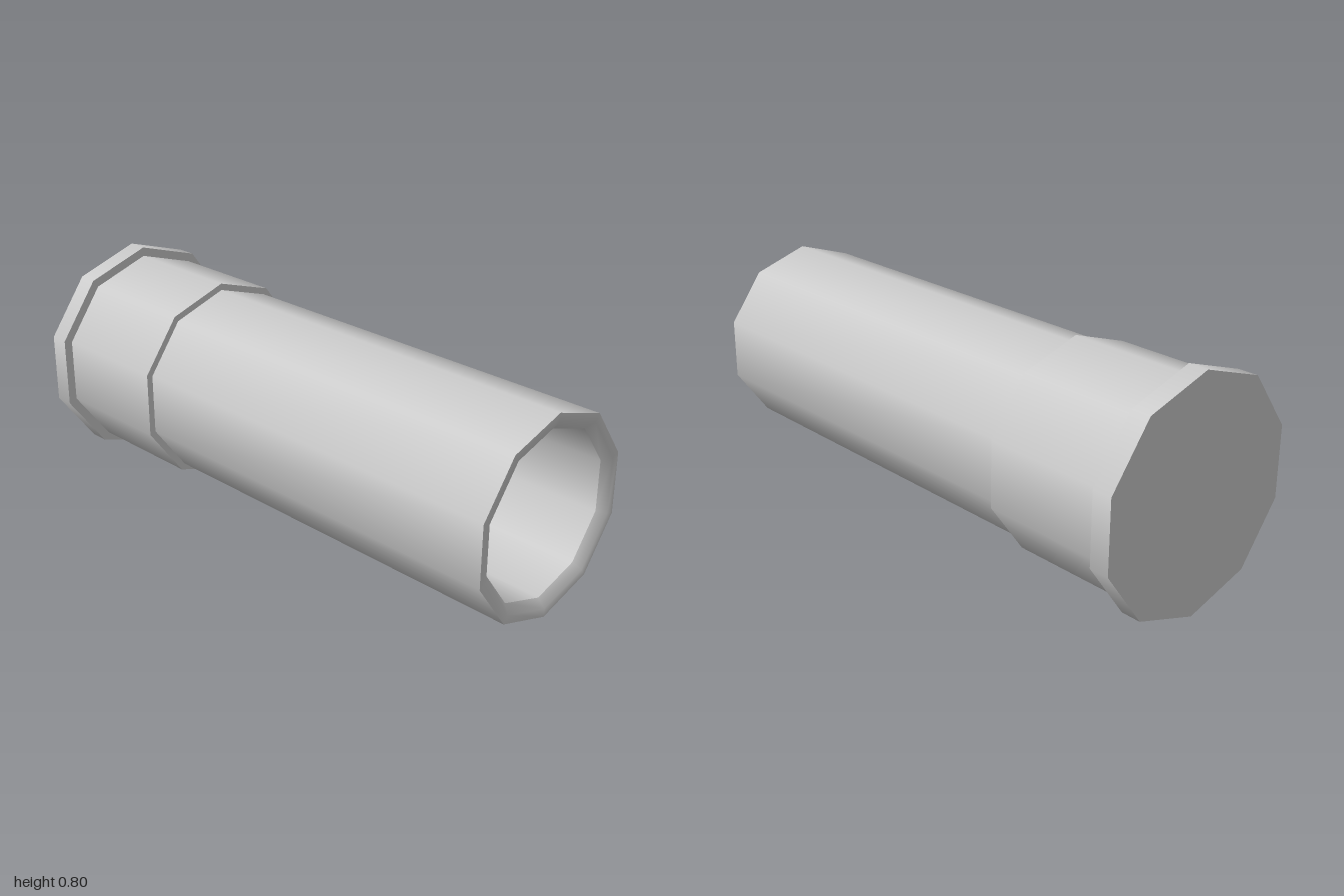
import * as THREE from 'three';

const SIDES = 10;
const AXIS_Y = 0.401;

export function createModel() {
  const group = new THREE.Group();
  const material = new THREE.MeshStandardMaterial({ color: 0xcccccc });

  // Turns a [radius, x] profile round the long axis; repeated points keep an edge sharp.
  function turned(name, profile) {
    const points = profile.map(([r, x]) => new THREE.Vector2(r, x));
    const geometry = new THREE.LatheGeometry(points, SIDES, Math.PI / 2);
    geometry.rotateZ(-Math.PI / 2);
    const mesh = new THREE.Mesh(geometry, material);
    mesh.name = name;
    mesh.position.y = AXIS_Y;
    group.add(mesh);
  }

  // Closed end with its flange
  turned('endFlange', [
    [0, -1], [0.401, -1], [0.401, -1],
    [0.401, -0.93], [0.401, -0.93], [0.368, -0.93],
  ]);

  // Thicker sleeve behind the flange
  turned('collar', [
    [0.368, -0.93], [0.368, -0.48], [0.368, -0.48], [0.344, -0.48],
  ]);

  // Long outer wall
  turned('tube', [[0.344, -0.48], [0.344, 1]]);

  // Softened lip round the open end
  turned('rim', [[0.344, 1], [0.315, 1], [0.286, 0.975]]);

  // Deep hollow with a flat floor, shaded smoothly into the wall
  turned('bore', [[0.286, 0.975], [0.286, -0.92], [0, -0.92]]);

  return group;
}
